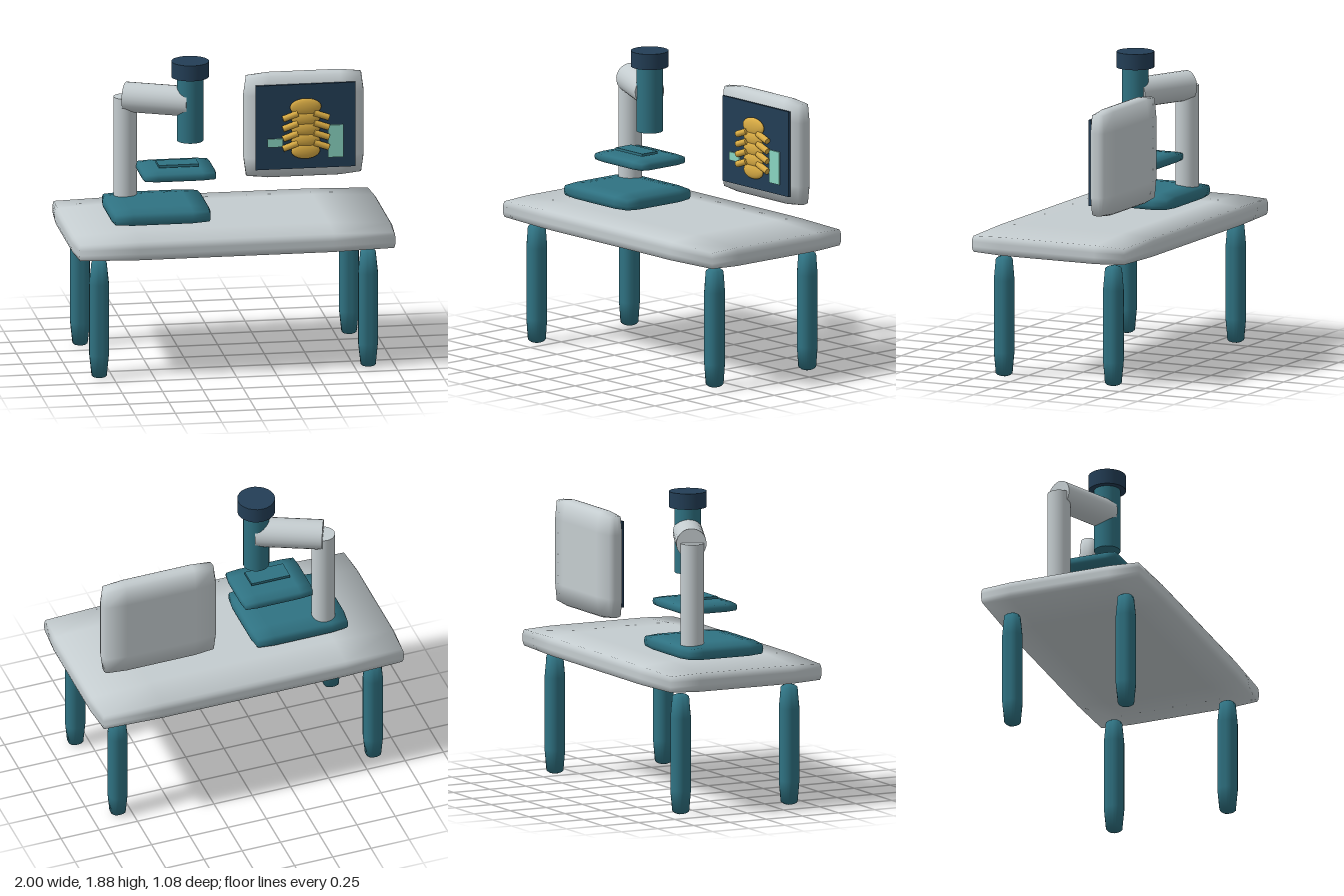
import * as THREE from 'three';

const material = (name, color) => {
  const m = new THREE.MeshStandardMaterial({ color });
  m.name = name;
  return m;
};

// Box whose coarse grid is pulled onto a rounded surface, giving softly bulging faces
function softBox(w, h, d, r) {
  const geo = new THREE.BoxGeometry(w, h, d, 5, 5, 5);
  const inner = new THREE.Vector3(w / 2 - r, h / 2 - r, d / 2 - r);
  const low = inner.clone().negate();
  const pos = geo.attributes.position, nor = geo.attributes.normal;
  const p = new THREE.Vector3(), c = new THREE.Vector3();
  for (let i = 0; i < pos.count; i++) {
    p.fromBufferAttribute(pos, i);
    c.copy(p).clamp(low, inner);
    p.sub(c).normalize();
    nor.setXYZ(i, p.x, p.y, p.z);
    c.addScaledVector(p, r);
    pos.setXYZ(i, c.x, c.y, c.z);
  }
  return geo;
}

export function createModel() {
  const root = new THREE.Group();
  root.name = 'microscopeTable';
  const grey = material('pale grey', 0xc4cccf);
  const teal = material('teal', 0x2f7282);
  const navy = material('navy', 0x233e56);
  const gold = material('gold', 0xdcae45);
  const mint = material('mint', 0x8ad6c2);

  const add = (parent, name, geo, mat, x, y, z) => {
    const mesh = new THREE.Mesh(geo, mat);
    mesh.name = name;
    mesh.position.set(x, y, z);
    parent.add(mesh);
    return mesh;
  };
  // Cylinder running between two points
  const rod = (parent, name, a, b, r, mat, sides = 24) => {
    const from = new THREE.Vector3(...a), dir = new THREE.Vector3(...b).sub(from);
    const mid = from.clone().addScaledVector(dir, 0.5);
    const mesh = add(parent, name, new THREE.CylinderGeometry(r, r, dir.length(), sides), mat, mid.x, mid.y, mid.z);
    mesh.quaternion.setFromUnitVectors(new THREE.Vector3(0, 1, 0), dir.normalize());
    return mesh;
  };
  const group = (name) => {
    const g = new THREE.Group();
    g.name = name;
    root.add(g);
    return g;
  };

  // Table
  const table = group('table');
  add(table, 'tableTop', softBox(2, 0.15, 1.08, 0.06), grey, 0, 0.835, 0);
  for (const x of [-0.835, 0.835])
    for (const z of [-0.375, 0.375])
      add(table, 'leg', softBox(0.12, 0.75, 0.12, 0.05), teal, x, 0.375, z);

  // Microscope
  const scope = group('microscope');
  add(scope, 'base', softBox(0.62, 0.1, 0.54, 0.045), teal, -0.42, 0.96, 0);
  add(scope, 'stage', softBox(0.46, 0.065, 0.37, 0.03), teal, -0.298, 1.195, 0.003);
  add(scope, 'slide', new THREE.BoxGeometry(0.25, 0.016, 0.125), teal, -0.295, 1.246, 0.032);
  rod(scope, 'column', [-0.587, 0.97, -0.167], [-0.587, 1.63, -0.167], 0.072, grey);
  rod(scope, 'arm', [-0.585, 1.627, -0.17], [-0.21, 1.627, 0], 0.093, grey);
  rod(scope, 'tube', [-0.21, 1.38, 0], [-0.21, 1.79, 0], 0.081, teal);
  rod(scope, 'eyepiece', [-0.21, 1.787, 0], [-0.21, 1.885, 0], 0.116, navy);

  // Monitor with its screen plate
  const monitor = group('monitor');
  add(monitor, 'monitorCase', softBox(0.745, 0.665, 0.125, 0.055), grey, 0.54, 1.375, -0.295);
  add(monitor, 'screen', new THREE.BoxGeometry(0.62, 0.535, 0.016), navy, 0.54, 1.378, -0.219);
  add(monitor, 'smallPanel', new THREE.BoxGeometry(0.095, 0.052, 0.009), mint, 0.35, 1.28, -0.206);
  add(monitor, 'tallPanel', new THREE.BoxGeometry(0.095, 0.205, 0.009), mint, 0.725, 1.278, -0.206);

  // Spine picture: stacked vertebrae with slanting ribs
  const spine = group('spine');
  const ball = new THREE.SphereGeometry(1, 20, 12);
  const vertebrae = [[1.505, 0.098, 0.055], [1.432, 0.09, 0.045], [1.365, 0.09, 0.045],
    [1.295, 0.09, 0.045], [1.226, 0.09, 0.05]];
  for (const [y, rx, ry] of vertebrae)
    add(spine, 'vertebra', ball, gold, 0.538, y, -0.196).scale.set(rx, ry, 0.02);
  for (let i = 0; i < 4; i++) {
    const y = 1.435 - i * 0.063;
    for (const s of [-1, 1])
      rod(spine, 'rib', [0.538 + s * 0.05, y + 0.033, -0.188], [0.538 + s * 0.142, y, -0.188], 0.02, gold, 12);
  }
  return root;
}
